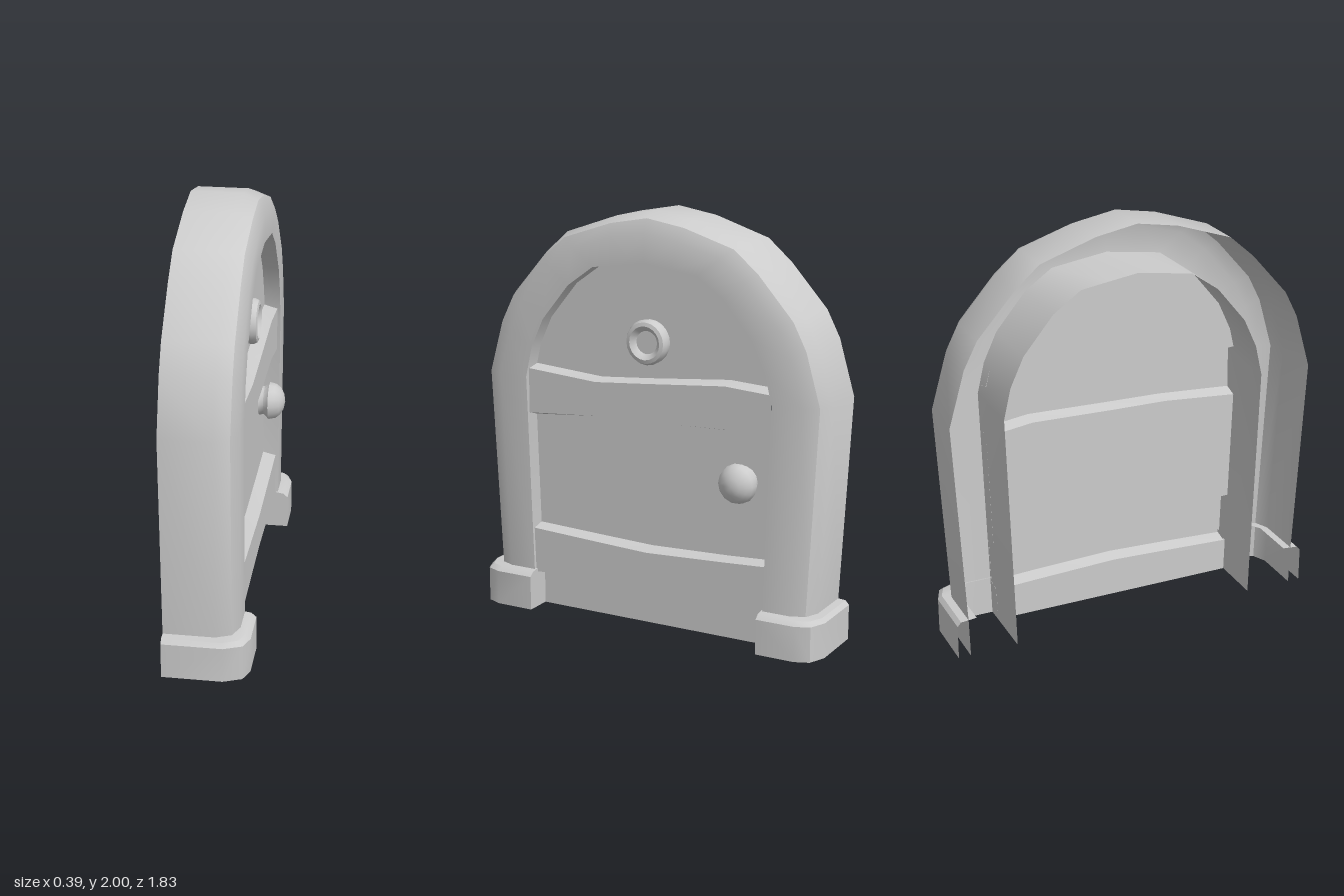
import * as THREE from 'three';
import { toCreasedNormals } from 'three/addons/utils/BufferGeometryUtils.js';

const material = new THREE.MeshStandardMaterial({ color: 0xcccccc, side: THREE.DoubleSide });
const lerp = THREE.MathUtils.lerp;

function part(name, geometry, crease = 0.65) {
  const mesh = new THREE.Mesh(toCreasedNormals(geometry, crease), material);
  mesh.name = name;
  return mesh;
}

// Surface through rows of [x, y, z] points
function loft(rows) {
  const n = rows[0].length, index = [];
  for (let i = 0; i < rows.length - 1; i++) {
    for (let j = 0; j < n - 1; j++) {
      const a = i * n + j, b = a + 1, d = a + n, c = d + 1;
      index.push(a, b, c, a, c, d);
    }
  }
  const g = new THREE.BufferGeometry();
  g.setAttribute('position', new THREE.Float32BufferAttribute(rows.flat(2), 3));
  g.setIndex(index);
  return g;
}

// Half arches as [z, y], from the crown down to the floor
const outer = [[0, 2], [0.2, 1.965], [0.47, 1.875], [0.59, 1.77], [0.77, 1.567],
  [0.835, 1.44], [0.912, 1.175], [0.86, 0.19], [0.855, 0]];
const inner = [[0, 1.77], [0.14, 1.75], [0.275, 1.73], [0.41, 1.635], [0.555, 1.46],
  [0.62, 1.32], [0.655, 1.17], [0.625, 0.19], [0.62, 0]];

// Mirror a half arch into a full path from -z over the crown to +z
const fullArch = half => [...half.slice(1).reverse().map(([z, y]) => [-z, y]), ...half];

const panelX = 0.06, strapX = 0.125;

// Open-backed frame: outer wall, bevel, front face and deep reveal
function makeFrame() {
  const o = fullArch(outer), n = fullArch(inner);
  const profile = [[-0.2, 0], [0.04, 0], [0.11, 0.13], [0.14, 0.42], [0.14, 1], [-0.2, 1]];
  return part('archFrame', loft(profile.map(([x, t]) =>
    o.map((p, i) => [x, lerp(p[1], n[i][1], t), lerp(p[0], n[i][0], t)]))));
}

// Door sheet with two raised, slightly wavy straps
function makeDoor() {
  const group = new THREE.Group();
  group.name = 'door';
  const columns = [1, 0.42, 0, -0.64, -1];
  const halfWidth = y => y < 1.17 ? 0.62 + 0.03 * y : 0.655 - 0.2 * (y - 1.17);
  const levels = [
    [panelX, [0, 0, 0, 0, 0]],
    [panelX, [0.165, 0.18, 0.19, 0.175, 0.165]],
    [strapX, [0.18, 0.197, 0.207, 0.193, 0.182]],
    [strapX, [0.405, 0.387, 0.375, 0.393, 0.405]],
    [panelX, [0.42, 0.405, 0.395, 0.408, 0.42]],
    [panelX, [0.97, 1.0, 1.003, 1.012, 0.98]],
    [strapX, [0.99, 1.015, 1.02, 1.03, 0.998]],
    [strapX, [1.21, 1.18, 1.2, 1.232, 1.215]],
    [panelX, [1.225, 1.195, 1.215, 1.25, 1.235]],
  ];
  const rows = levels.map(([x, ys]) => ys.map((y, i) => [x, y, columns[i] * halfWidth(y)]));
  group.add(part('doorPanelAndStraps', loft(rows), 0.4));

  // Rounded top of the panel
  const outline = [...rows.at(-1).map(([, y, z]) => new THREE.Vector2(-z, y)),
    ...fullArch(inner.slice(0, 6)).map(([z, y]) => new THREE.Vector2(-z, y))];
  const top = new THREE.ShapeGeometry(new THREE.Shape(outline));
  top.rotateY(Math.PI / 2).translate(panelX, 0, 0);
  group.add(part('doorPanelTop', top));
  return group;
}

// Turned part on the door; profile is [radius, distance from the panel]
function makeTurned(name, profile, y, z, sides, crease) {
  const g = new THREE.LatheGeometry(profile.map(p => new THREE.Vector2(...p)), sides);
  g.rotateZ(-Math.PI / 2).translate(panelX, y, z);
  return part(name, g, crease);
}

// Foot block: footprints as [x, z], stacked upwards and closed over the top
function makeFoot() {
  const base = [[-0.2, 0.915], [0.08, 0.915], [0.165, 0.88], [0.193, 0.81], [0.193, 0.617], [panelX, 0.617]];
  const bevel = [[-0.2, 0.897], [0.075, 0.897], [0.145, 0.865], [0.17, 0.8], [0.17, 0.617], [panelX, 0.617]];
  const lid = [[-0.2, 0.82], [0.04, 0.82], [0.09, 0.79], [0.13, 0.75], [0.13, 0.617], [panelX, 0.617]];
  const stack = [[0, base], [0.17, base], [0.19, bevel], [0.197, lid]];
  return part('footBlock', loft(stack.map(([y, ring]) => ring.map(([x, z]) => [x, y, z]))));
}

export function createModel() {
  const model = new THREE.Group();
  model.name = 'archedDoor';
  model.add(makeFrame(), makeDoor());

  // Round spyhole ring and ball knob
  model.add(makeTurned('spyhole',
    [[0.105, 0], [0.108, 0.035], [0.098, 0.055], [0.08, 0.06], [0.062, 0.045], [0.055, 0.035], [0, 0.035]],
    1.39, 0.01, 20, 0.8));
  model.add(makeTurned('doorKnob',
    [[0.075, 0], [0.072, 0.025], [0.095, 0.05], [0.088, 0.082], [0.07, 0.105], [0.04, 0.122], [0, 0.13]],
    0.78, -0.48, 14, 0.9));

  // Mirrored foot blocks
  for (const side of [1, -1]) {
    const foot = makeFoot();
    foot.scale.z = side;
    model.add(foot);
  }
  return model;
}
